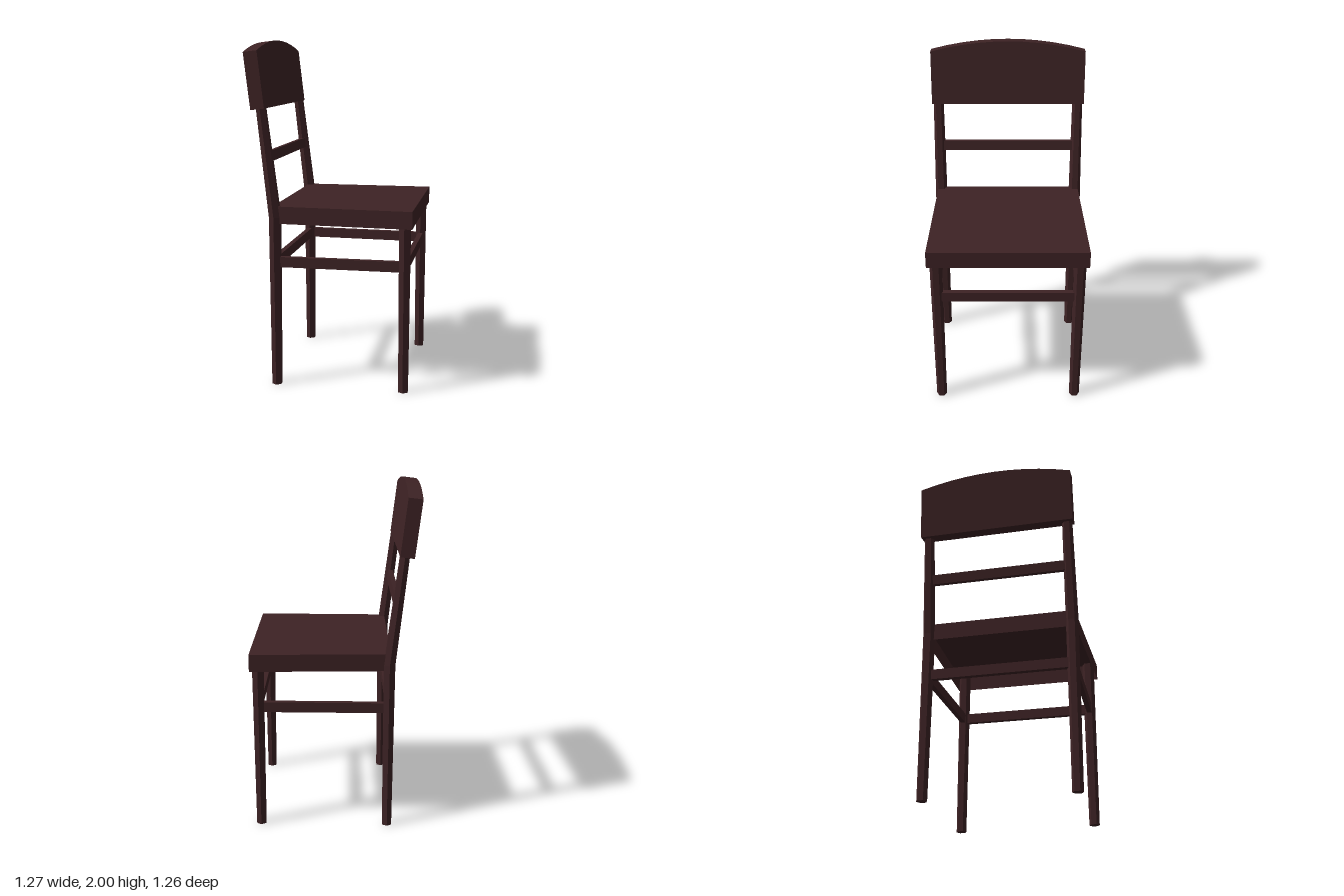
import * as THREE from 'three';

const wood = new THREE.MeshStandardMaterial({ color: 0x3e2325, flatShading: true });
wood.name = 'darkWood';
wood.side = THREE.DoubleSide; // the seat is an open shell underneath

const LEAN = 0.117;      // backward slope of the backrest
const BACK = -0.316;     // depth of the back legs
const FRONT = 0.431;     // depth of the front legs
const BACK_X = 0.427, FRONT_X = 0.414;

export function createModel() {
  const chair = new THREE.Group();
  chair.name = 'chair';

  function add(name, geometry, x = 0, y = 0, z = 0) {
    const mesh = new THREE.Mesh(geometry, wood);
    mesh.name = name;
    mesh.position.set(x, y, z);
    chair.add(mesh);
    return mesh;
  }

  // Tapered six-sided post standing on its origin, sheared backwards by lean
  function post(rBottom, rTop, height, lean = 0) {
    const g = new THREE.CylinderGeometry(rTop, rBottom, height, 6);
    g.rotateY(Math.PI / 6).translate(0, height / 2, 0);
    const p = g.attributes.position;
    for (let i = 0; i < p.count; i++) p.setZ(i, p.getZ(i) - lean * p.getY(i));
    g.computeVertexNormals();
    return g;
  }

  // Seat: shallow box open at the bottom, slightly narrower at the back
  const seat = new THREE.BoxGeometry(0.932, 0.1, 0.802);
  const p = seat.attributes.position;
  for (let i = 0; i < p.count; i++) if (p.getZ(i) < 0) p.setX(i, p.getX(i) * 0.955);
  const index = Array.from(seat.index.array);
  index.splice(18, 6);
  seat.setIndex(index);
  seat.clearGroups();
  seat.computeVertexNormals();
  add('seat', seat, 0, 1.015, 0.076);

  // Legs, back posts and side stretchers
  for (const [side, s] of [['left', 1], ['right', -1]]) {
    add(side + 'FrontLeg', post(0.031, 0.037, 1.05), s * FRONT_X, 0, FRONT);
    add(side + 'BackLeg', post(0.031, 0.037, 1.0), s * BACK_X, 0, BACK);
    add(side + 'BackPost', post(0.037, 0.03, 0.7, LEAN), s * BACK_X, 1.0, BACK);
    const stretcher = add(side + 'Stretcher', new THREE.BoxGeometry(0.03, 0.06, FRONT - BACK),
      s * (FRONT_X + BACK_X) / 2, 0.74, (FRONT + BACK) / 2);
    stretcher.rotation.y = s * Math.atan2(FRONT_X - BACK_X, FRONT - BACK);
  }

  // Cross rails
  add('frontStretcher', new THREE.BoxGeometry(2 * FRONT_X, 0.06, 0.03), 0, 0.74, FRONT);
  add('backStretcher', new THREE.BoxGeometry(2 * BACK_X, 0.06, 0.03), 0, 0.74, BACK);
  const rail = add('backRail', new THREE.BoxGeometry(2 * BACK_X, 0.06, 0.03), 0, 1.345, BACK - LEAN * 0.345);
  rail.rotation.x = -LEAN;

  // Backrest panel with an arched top
  const w = 0.466, corner = 0.322, crown = 0.383, n = 10;
  const shape = new THREE.Shape();
  shape.moveTo(-w, 0);
  shape.lineTo(w, 0);
  for (let i = 0; i <= n; i++) {
    const t = 1 - (2 * i) / n;
    shape.lineTo(w * t, crown - (crown - corner) * t * t);
  }
  shape.closePath();
  const panel = new THREE.ExtrudeGeometry(shape, { depth: 0.08, bevelEnabled: false });
  panel.translate(0, 0, -0.04);
  add('backrestPanel', panel, 0, 1.615, -0.4).rotation.x = -LEAN;

  // The chair stands turned to its left
  chair.rotation.y = 1.109;
  const model = new THREE.Group();
  model.name = 'model';
  model.add(chair);
  return model;
}
